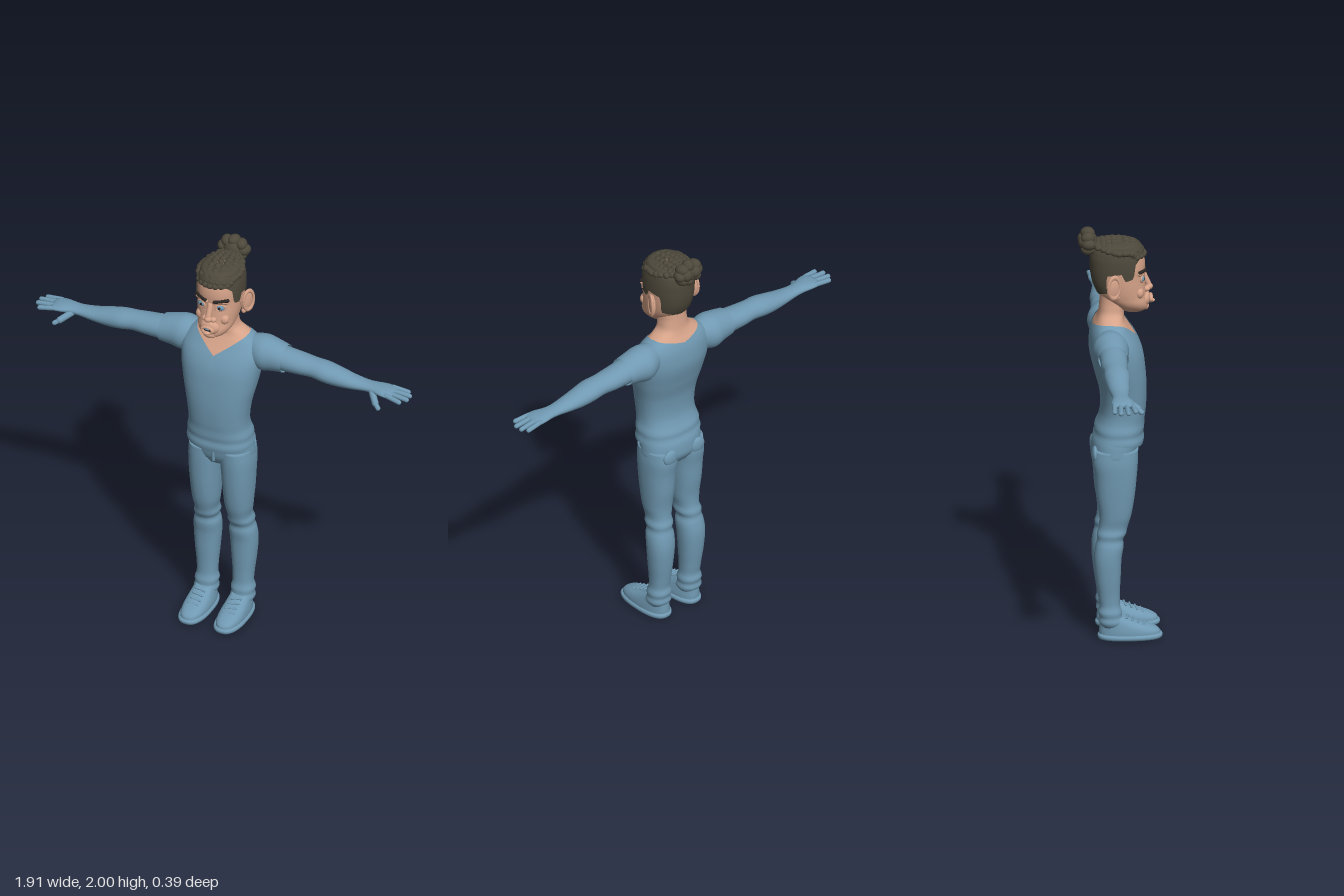
import * as THREE from 'three';

const mat = (name, color, side = THREE.FrontSide) => {
  const m = new THREE.MeshStandardMaterial({ color, side });
  m.name = name;
  return m;
};

// Smooth surface through cross-sections [t, u0, u1, w0, w1] (extents at height t).
// lo and hi give the lower and upper edge for each angle around the axis.
function loft(rows, { lo, hi, grow = 0, e = 0.9, seg = 48, steps = 40, caps = true } = {}) {
  const curve = new THREE.CubicInterpolant(
    new Float32Array(rows.map(r => r[0])), new Float32Array(rows.flatMap(r => r.slice(1))), 4);
  const pw = v => Math.sign(v) * Math.abs(v) ** e;
  const at = (t, a) => {
    const [u0, u1, w0, w1] = curve.evaluate(t);
    return [(u0 + u1) / 2 + ((u1 - u0) / 2 + grow) * pw(Math.sin(a)), t,
      (w0 + w1) / 2 + ((w1 - w0) / 2 + grow) * pw(Math.cos(a))];
  };
  const first = rows[0][0], last = rows[rows.length - 1][0];
  const pos = [], idx = [];
  for (let j = 0; j <= steps; j++) {
    for (let i = 0; i < seg; i++) {
      const a = (i / seg) * Math.PI * 2;
      const t0 = lo ? lo(a, at) : first, t1 = hi ? hi(a, at) : last;
      pos.push(...at(t0 + (t1 - t0) * j / steps, a));
      if (j === steps) continue;
      const p = j * seg + i, q = j * seg + (i + 1) % seg;
      idx.push(p, q, q + seg, p, q + seg, p + seg);
    }
  }
  if (caps) {
    [[0, first, 1], [steps * seg, last, 0]].forEach(([base, t, flip]) => {
      const [u0, u1, w0, w1] = curve.evaluate(t);
      const c = pos.length / 3;
      pos.push((u0 + u1) / 2, t, (w0 + w1) / 2);
      for (let i = 0; i < seg; i++) {
        const p = base + i, q = base + (i + 1) % seg;
        idx.push(...(flip ? [c, q, p] : [c, p, q]));
      }
    });
  }
  const g = new THREE.BufferGeometry();
  g.setAttribute('position', new THREE.Float32BufferAttribute(pos, 3));
  g.setIndex(idx);
  g.computeVertexNormals();
  return g;
}

// Copy with x negated, or with x and y swapped, keeping faces outward
function reflect(src, swap = false) {
  const g = src.clone(), p = g.attributes.position, ix = g.index.array;
  for (let i = 0; i < p.count; i++) {
    const x = p.getX(i), y = p.getY(i);
    p.setXY(i, swap ? y : -x, swap ? x : y);
  }
  for (let i = 0; i < ix.length; i += 3) [ix[i + 1], ix[i + 2]] = [ix[i + 2], ix[i + 1]];
  g.computeVertexNormals();
  return g;
}

const ball = (x, y, z, rx, ry, rz, turn = 0) =>
  new THREE.SphereGeometry(1, 20, 14).scale(rx, ry, rz).rotateY(turn).translate(x, y, z);

// Rounded rod from a to b
function rod(a, b, r) {
  const A = new THREE.Vector3(...a), B = new THREE.Vector3(...b), d = B.clone().sub(A);
  const q = new THREE.Quaternion().setFromUnitVectors(new THREE.Vector3(0, 1, 0), d.clone().normalize());
  return new THREE.CapsuleGeometry(r, d.length(), 5, 12).applyQuaternion(q)
    .translate((A.x + B.x) / 2, (A.y + B.y) / 2, (A.z + B.z) / 2);
}

export function createModel() {
  const model = new THREE.Group();
  model.name = 'man';
  const blue = mat('clothBlue', 0x7099b2), cloth = mat('openClothBlue', 0x7099b2, THREE.DoubleSide);
  const skin = mat('skin', 0xd6a389), hair = mat('hair', 0x4d483b);
  const hairShell = mat('openHair', 0x4d483b, THREE.DoubleSide), dark = mat('dark', 0x2b2624);
  const add = (name, geo, m) => {
    const mesh = new THREE.Mesh(geo, m);
    mesh.name = name;
    model.add(mesh);
  };
  const pair = (name, geo, m) => {
    add(name + 'Left', geo, m);
    add(name + 'Right', reflect(geo), m);
  };
  const sym = rows => rows.map(([y, r, z0, z1]) => [y, -r, r, z0, z1]);

  // Shirt with slanted hem and V neckline; chest and neck underneath
  const torso = sym([[0.94, 0.158, -0.118, 0.112], [0.97, 0.163, -0.122, 0.118], [1.0, 0.157, -0.113, 0.114],
    [1.02, 0.158, -0.112, 0.118], [1.06, 0.148, -0.096, 0.12], [1.1, 0.146, -0.086, 0.125],
    [1.2, 0.158, -0.09, 0.13], [1.3, 0.18, -0.115, 0.125], [1.4, 0.197, -0.137, 0.11],
    [1.46, 0.2, -0.136, 0.085], [1.5, 0.188, -0.13, 0.06], [1.53, 0.165, -0.12, 0.042],
    [1.555, 0.128, -0.108, 0.03], [1.58, 0.09, -0.1, 0.03], [1.62, 0.076, -0.095, 0.035], [1.72, 0.074, -0.09, 0.04]]);
  const collar = (a, at) => {
    const [base, slope] = Math.cos(a) > 0 ? [1.46, 0.73] : [1.525, 0.24];
    let lo = base, hi = 1.557;
    for (let k = 0; k < 14; k++) {
      const mid = (lo + hi) / 2;
      if (mid < base + slope * Math.abs(at(mid, a)[0])) lo = mid; else hi = mid;
    }
    return lo;
  };
  add('shirt', loft(torso, { lo: a => 0.965 - 0.02 * Math.cos(a), hi: collar, e: 0.85, seg: 72, steps: 60, caps: false }), cloth);
  add('neck', loft(torso, { lo: () => 1.42, grow: -0.005, e: 0.85, caps: false }), skin);

  // Sleeves, arms and hands, as sections along x
  const sleeve = [[0.13, 1.4, 1.54, -0.105, 0.01], [0.2, 1.375, 1.55, -0.132, 0.035],
    [0.26, 1.385, 1.54, -0.122, 0.03], [0.315, 1.393, 1.525, -0.113, 0.027]];
  pair('sleeve', reflect(loft(sleeve, { e: 1, caps: false, steps: 16 }), true), cloth);
  const arm = [[0.26, 1.405, 1.52, -0.108, 0.018], [0.32, 1.402, 1.515, -0.106, 0.02], [0.4, 1.405, 1.505, -0.105, 0.018],
    [0.46, 1.407, 1.5, -0.098, 0.014], [0.52, 1.4, 1.496, -0.1, 0.02], [0.58, 1.395, 1.485, -0.095, 0.015],
    [0.66, 1.401, 1.466, -0.085, 0.008], [0.74, 1.41, 1.456, -0.076, 0], [0.78, 1.414, 1.456, -0.079, 0.005],
    [0.82, 1.417, 1.455, -0.086, 0.018], [0.86, 1.419, 1.449, -0.085, 0.02], [0.875, 1.425, 1.443, -0.08, 0.015]];
  pair('arm', reflect(loft(arm, { e: 1, seg: 32 }), true), blue);
  [[-0.074, 0.925, -0.077], [-0.046, 0.945, -0.049], [-0.018, 0.945, -0.014], [0.008, 0.922, 0.02]].forEach(([z, x, tip], i) => {
    pair('finger' + i, rod([0.85, 1.436, z], [x, 1.427, tip], 0.0115), blue);
  });
  pair('thumbBase', rod([0.77, 1.425, -0.01], [0.81, 1.4, 0.038], 0.016), blue);
  pair('thumb', rod([0.8, 1.405, 0.03], [0.83, 1.388, 0.053], 0.012), blue);

  // Trousers with gathered knees and ankles
  add('hips', loft(sym([[0.85, 0.13, -0.1, 0.06], [0.89, 0.157, -0.124, 0.082], [0.93, 0.157, -0.126, 0.092],
    [0.97, 0.152, -0.12, 0.1], [1.01, 0.14, -0.1, 0.1]]), { steps: 16 }), blue);
  const leg = [[0.06, 0.045, 0.14, -0.085, 0.01], [0.085, 0.034, 0.152, -0.1, 0.02], [0.105, 0.04, 0.146, -0.094, 0.01],
    [0.13, 0.035, 0.15, -0.102, 0.01], [0.155, 0.042, 0.142, -0.095, 0.002], [0.2, 0.042, 0.142, -0.1, 0],
    [0.3, 0.035, 0.152, -0.114, 0.004], [0.4, 0.028, 0.158, -0.12, 0.009], [0.46, 0.028, 0.153, -0.112, 0.018],
    [0.49, 0.036, 0.144, -0.104, 0.016], [0.515, 0.026, 0.148, -0.106, 0.03], [0.54, 0.03, 0.14, -0.098, 0.035],
    [0.6, 0.02, 0.147, -0.095, 0.053], [0.7, 0.012, 0.155, -0.108, 0.07], [0.8, 0.006, 0.16, -0.116, 0.08],
    [0.87, 0.001, 0.161, -0.126, 0.085], [0.93, 0, 0.155, -0.122, 0.086]];
  pair('trouserLeg', loft(leg, { steps: 80 }), blue);
  pair('backPocket', ball(0.082, 0.905, -0.114, 0.042, 0.04, 0.016), blue);
  add('fly', rod([0, 0.88, 0.083], [0, 0.94, 0.088], 0.008), blue);

  // Shoes
  pair('sole', loft([[0, 0.028, 0.154, -0.098, 0.192], [0.004, 0.024, 0.158, -0.101, 0.196],
    [0.02, 0.024, 0.158, -0.101, 0.197], [0.025, 0.03, 0.152, -0.095, 0.19]], { e: 0.8, steps: 10 }), blue);
  pair('shoe', loft([[0.018, 0.029, 0.153, -0.096, 0.19], [0.04, 0.03, 0.152, -0.096, 0.182], [0.058, 0.034, 0.149, -0.095, 0.15],
    [0.075, 0.039, 0.145, -0.094, 0.1], [0.09, 0.043, 0.141, -0.093, 0.058], [0.108, 0.05, 0.134, -0.088, 0.02]], { e: 0.85, steps: 24 }), blue);
  for (let i = 0; i < 4; i++) {
    const y = 0.066 + i * 0.011, z = 0.117 - i * 0.026;
    pair('lace' + i, rod([0.066, y, z], [0.116, y + 0.003, z - 0.008], 0.005), blue);
  }

  // Head
  const head = sym([[1.585, 0.03, 0.03, 0.11], [1.6, 0.055, 0, 0.133], [1.63, 0.08, -0.035, 0.138], [1.67, 0.092, -0.085, 0.13],
    [1.72, 0.1, -0.112, 0.124], [1.77, 0.103, -0.124, 0.12], [1.82, 0.104, -0.128, 0.123], [1.87, 0.1, -0.127, 0.116],
    [1.91, 0.088, -0.112, 0.098], [1.93, 0.066, -0.085, 0.066], [1.938, 0.02, -0.03, 0.01]]);
  add('head', loft(head, { e: 0.9 }), skin);
  pair('ear', ball(0.118, 1.738, -0.027, 0.014, 0.056, 0.034, -0.45), skin);
  pair('earRim', new THREE.TorusGeometry(0.03, 0.007, 8, 24).scale(1, 1.7, 1).rotateY(Math.PI / 2 - 0.45).translate(0.128, 1.742, -0.028), skin);
  pair('earLobe', ball(0.11, 1.69, -0.015, 0.012, 0.016, 0.015), skin);

  // Face
  pair('eye', ball(0.048, 1.757, 0.102, 0.022, 0.016, 0.017, 0.3), blue);
  pair('pupil', ball(0.047, 1.757, 0.1175, 0.007, 0.008, 0.003, 0.3), dark);
  pair('eyelid', new THREE.TorusGeometry(0.023, 0.005, 8, 24).scale(1, 0.72, 1).rotateY(0.4).translate(0.048, 1.757, 0.109), skin);
  pair('browRidge', rod([0.02, 1.783, 0.116], [0.075, 1.787, 0.094], 0.011), skin);
  pair('eyebrow', rod([0.024, 1.79, 0.122], [0.08, 1.797, 0.095], 0.0085), dark);
  add('noseBridge', rod([0, 1.765, 0.116], [0, 1.71, 0.14], 0.014), skin);
  add('noseTip', ball(0, 1.702, 0.14, 0.02, 0.017, 0.02), skin);
  pair('nostril', ball(0.022, 1.697, 0.129, 0.014, 0.013, 0.016), skin);
  pair('cheek', ball(0.058, 1.69, 0.092, 0.026, 0.028, 0.022), skin);
  add('muzzle', ball(0, 1.648, 0.12, 0.05, 0.04, 0.029), skin);
  add('mouth', ball(0, 1.645, 0.143, 0.024, 0.011, 0.01), dark);
  add('lips', new THREE.TorusGeometry(0.026, 0.009, 10, 28).scale(1, 0.62, 1).translate(0, 1.645, 0.15), skin);
  add('lowerLip', ball(0, 1.633, 0.157, 0.018, 0.008, 0.012), skin);
  add('teeth', ball(0, 1.65, 0.15, 0.017, 0.005, 0.006), blue);
  add('chin', ball(0, 1.608, 0.122, 0.034, 0.02, 0.02), skin);

  // Close-cropped hair with sideburns and nape
  const edge = [[0, 1.868], [0.75, 1.862], [0.98, 1.84], [1.07, 1.772], [1.4, 1.762], [1.5, 1.8], [2.0, 1.79], [2.12, 1.7], [3.15, 1.675]];
  const hairline = a => {
    const b = a > Math.PI ? Math.PI * 2 - a : a;
    const k = edge.findIndex(p => p[0] >= b && p[0] > 0);
    return THREE.MathUtils.mapLinear(b, edge[k - 1][0], edge[k][0], edge[k - 1][1], edge[k][1]);
  };
  add('croppedHair', loft(head, { lo: hairline, grow: 0.006, e: 0.9, seg: 96, caps: false }), hairShell);

  // Braids swept back over the crown
  for (let i = -3; i <= 3; i++) {
    const s = i / 3, c = 1 - s * s;
    const path = new THREE.CatmullRomCurve3([
      new THREE.Vector3(s * 0.072, 1.87, 0.075 + 0.037 * c), new THREE.Vector3(s * 0.088, 1.897 + 0.016 * c, 0.045 + 0.035 * c),
      new THREE.Vector3(s * 0.095, 1.898 + 0.037 * c, 0), new THREE.Vector3(s * 0.078, 1.908 + 0.025 * c, -0.06),
      new THREE.Vector3(s * 0.035, 1.92, -0.115)]);
    for (let k = 0; k <= 10; k++) {
      const p = path.getPoint(k / 10);
      add(`braid${i + 3}Lock${k}`, ball(p.x, p.y, p.z, 0.0165, 0.0155, 0.021, k % 2 ? 0.5 : -0.5), hair);
    }
  }

  // Bun of coiled locks
  add('bunCore', ball(0, 1.93, -0.138, 0.052, 0.048, 0.042), hair);
  for (let i = 0; i < 8; i++) {
    const a = (i / 8) * Math.PI * 2 + Math.PI / 2;
    add('bunLock' + i, ball(Math.cos(a) * 0.052, 1.932 + Math.sin(a) * 0.04, -0.143, 0.028, 0.027, 0.034, i % 2 ? 0.4 : -0.4), hair);
  }
  for (const x of [-0.026, 0.026]) add('bunBackLock', ball(x, 1.935, -0.165, 0.028, 0.03, 0.024), hair);
  return model;
}
